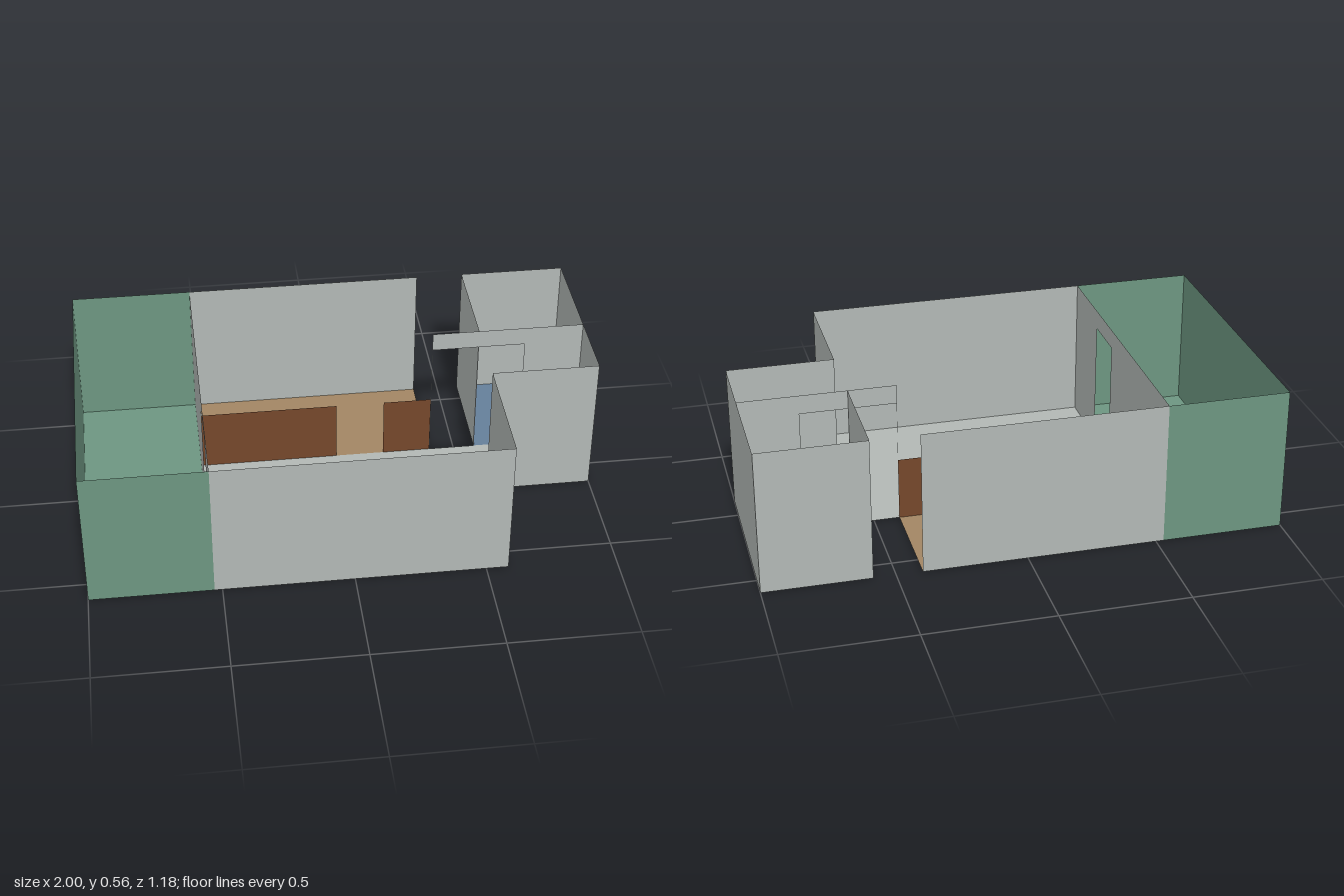
import * as THREE from 'three';

const H = 0.565;      // full wall height
const DOOR = 0.49;    // door height
const LOW = 0.25;     // low wall height

function material(name, color) {
  const m = new THREE.MeshStandardMaterial({ color, side: THREE.DoubleSide });
  m.name = name;
  return m;
}

export function createModel() {
  const group = new THREE.Group();
  const grey = material('pale grey', 0xb2b8b5);
  const green = material('green', 0x6d9681);
  const tan = material('tan', 0xa28664);
  const blue = material('slate blue', 0x657f9a);
  const brown = material('dark brown', 0x75472b);

  // Flat floor from a plan outline of [x, z] points
  function floor(name, mat, points) {
    const shape = new THREE.Shape(points.map(([x, z]) => new THREE.Vector2(x, -z)));
    const mesh = new THREE.Mesh(new THREE.ShapeGeometry(shape).rotateX(-Math.PI / 2), mat);
    mesh.name = name;
    group.add(mesh);
  }

  // Thin upright wall between two plan points; door = [start, end] along it
  function wall(name, mat, [x0, z0], [x1, z1], height = H, door = null) {
    const length = Math.hypot(x1 - x0, z1 - z0);
    const outline = [[0, 0]];
    if (door) outline.push([door[0], 0], [door[0], DOOR], [door[1], DOOR], [door[1], 0]);
    outline.push([length, 0], [length, height], [0, height]);
    const shape = new THREE.Shape(outline.map(([u, v]) => new THREE.Vector2(u, v)));
    const mesh = new THREE.Mesh(new THREE.ShapeGeometry(shape), mat);
    mesh.rotation.y = Math.atan2(z0 - z1, x1 - x0);
    mesh.position.set(x0, 0, z0);
    mesh.name = name;
    group.add(mesh);
  }

  const L = -1, A = -0.53, B = 0.4, C = 0.585, R = 1;   // x lines of the plan
  const back = -0.588, mid = -0.17, hall = 0.115, front = 0.588; // z lines

  // Floors
  floor('greenRoomFloor', green, [[L, front], [A, front], [A, back], [L, back]]);
  floor('kitchenFloor', tan, [[A, mid], [B, mid], [B, back], [A, back]]);
  floor('bathroomFloor', blue, [[C, mid], [R, mid], [R, back], [C, back]]);
  floor('livingRoomFloor', grey,
    [[A, front], [C, front], [C, hall], [R, hall], [R, mid], [A, mid]]);

  // Green room outer walls
  wall('greenFrontWall', green, [L, front], [A, front]);
  wall('greenSideWall', green, [L, back], [L, front]);
  wall('greenBackWall', green, [L, back], [A, back]);

  // Grey outer walls
  wall('frontWall', grey, [A, front], [C, front]);
  wall('frontSideWall', grey, [C, hall], [C, front]);
  wall('hallFrontWall', grey, [C, hall], [R, hall]);
  wall('endWall', grey, [R, back], [R, hall]);
  wall('bathroomBackWall', grey, [C, back], [R, back]);
  wall('bathroomSideWall', grey, [C, back], [C, mid]);
  wall('kitchenBackWall', grey, [A, back], [B, back]);

  // Inner walls and doorways
  wall('dividingWall', grey, [A, back], [A, front], H, [0.698, 0.893]);
  wall('entranceLintel', grey, [B, mid], [C, mid], H, [0.001, C - B - 0.001]);
  wall('bathroomDoorWall', grey, [C, mid], [R, mid], H, [0.001, 0.184]);

  // Low counter walls on both sides of the kitchen passage
  wall('longCounter', brown, [A, mid], [0.02, mid], LOW);
  wall('shortCounter', brown, [0.21, mid], [B, mid], LOW);

  return group;
}
